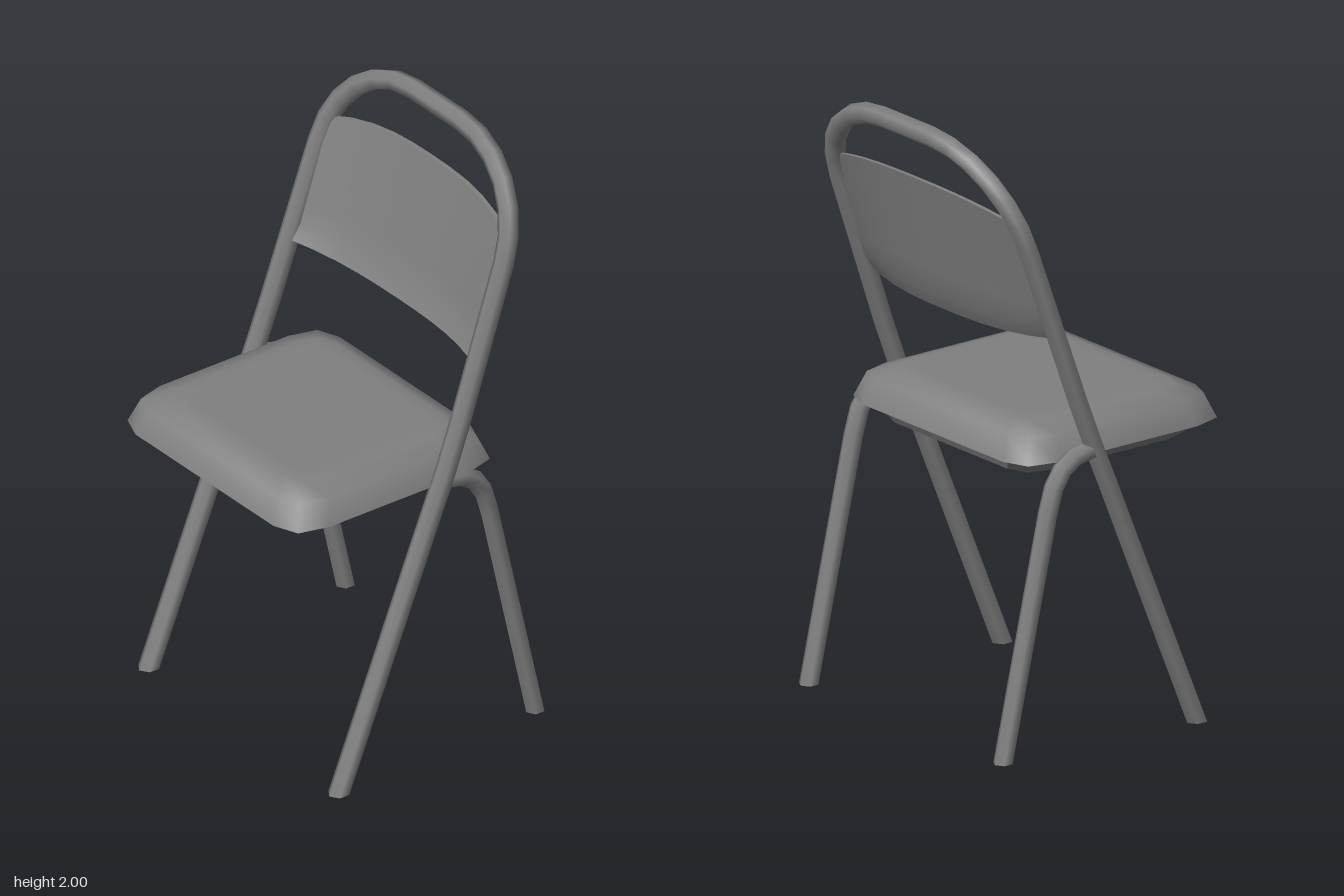
import * as THREE from 'three';
import { toCreasedNormals } from 'three/addons/utils/BufferGeometryUtils.js';

const material = new THREE.MeshStandardMaterial({ color: 0x808080 });

// Closed skin over a list of rings (arrays of Vector3), with both ends capped.
function loft(rings) {
  const n = rings[0].length, index = [];
  for (let r = 0; r < rings.length - 1; r++) {
    for (let i = 0; i < n; i++) {
      const a = r * n + i, b = r * n + (i + 1) % n;
      index.push(a, b, a + n, b, b + n, a + n);
    }
  }
  const last = (rings.length - 1) * n;
  for (let i = 1; i < n - 1; i++) {
    index.push(0, i + 1, i);
    index.push(last, last + i, last + i + 1);
  }
  const geometry = new THREE.BufferGeometry().setFromPoints(rings.flat());
  geometry.setIndex(index);
  return toCreasedNormals(geometry, 1.15);
}

// Six-sided pipe along a path; an end given a floor height is cut level there.
function pipe(path, radius, reference, phase, firstFloor, lastFloor) {
  const rings = path.map((p, k) => {
    const before = path[Math.max(k - 1, 0)], after = path[Math.min(k + 1, path.length - 1)];
    const t = after.clone().sub(p).normalize().add(p.clone().sub(before).normalize()).normalize();
    const m = t.clone().cross(reference).normalize();
    const n = m.clone().cross(t);
    const floor = k === 0 ? firstFloor : k === path.length - 1 ? lastFloor : undefined;
    return Array.from({ length: 6 }, (_, i) => {
      const a = phase + i * Math.PI / 3;
      const v = p.clone().addScaledVector(n, radius * Math.cos(a)).addScaledVector(m, radius * Math.sin(a));
      if (floor !== undefined) v.addScaledVector(t, (floor - v.y) / t.y);
      return v;
    });
  });
  return loft(rings);
}

function createModel() {
  const group = new THREE.Group();
  const add = (name, geometry) => {
    const mesh = new THREE.Mesh(geometry, material);
    mesh.name = name;
    group.add(mesh);
  };

  // Front legs and back hoop: one bent pipe, mirrored about the middle
  const half = [
    [0.482, 0, 0.32], [0.482, 0.85, -0.03], [0.482, 1.0, -0.093], [0.48, 1.15, -0.15],
  ].map((p) => new THREE.Vector3(...p));
  for (let i = 0; i <= 6; i++) {
    const a = i * Math.PI / 12, rise = 0.31 * Math.sin(a);
    half.push(new THREE.Vector3(0.12 + 0.35 * Math.cos(a), 1.66 + rise, -0.33 - 0.339 * rise));
  }
  const mirrored = half.map((p) => new THREE.Vector3(-p.x, p.y, p.z)).reverse();
  add('frontLegsAndBackHoop', pipe([...half, ...mirrored], 0.034, new THREE.Vector3(0, 0.36, 1), 0, 0, 0));

  // Rear legs, curving out of the frame just below the seat
  for (const [side, name] of [[1, 'rearLegLeft'], [-1, 'rearLegRight']]) {
    const path = [
      [0.025, -0.443], [0.8, -0.267], [0.88, -0.243], [0.93, -0.21], [0.96, -0.165], [0.975, -0.09],
    ].map(([y, z]) => new THREE.Vector3(side * 0.481, y, z));
    add(name, pipe(path, 0.032, new THREE.Vector3(1, 0, 0), Math.PI / 2, 0.025));
  }

  // Seat cushion: rounded-corner outlines stacked as [y, half width, back z, front z]
  const corner = [[1, 0.67], [0.94, 0.92], [0.76, 1]];
  const flipped = [...corner].reverse();
  const outline = [
    ...corner.map(([x, z]) => [x, -z]), ...flipped.map(([x, z]) => [-x, -z]),
    ...corner.map(([x, z]) => [-x, z]), ...flipped,
  ];
  const seatRings = [
    [0.893, 0.33, -0.225, 0.36], [0.893, 0.37, -0.265, 0.40], [0.95, 0.405, -0.29, 0.425],
    [0.95, 0.46, -0.338, 0.473], [1.03, 0.43, -0.305, 0.44], [1.057, 0.35, -0.245, 0.37],
    [1.057, 0.3, -0.2, 0.325],
  ].map(([y, w, back, front]) => outline.map(([x, z]) =>
    new THREE.Vector3(x * w, y, (front + back) / 2 + z * (front - back) / 2)));
  add('seat', loft(seatRings));

  // Backrest: thin panel bowed backward between the uprights, lower edge flared forward
  const panel = new THREE.BoxGeometry(2, 1, 1, 10, 5, 1);
  const pos = panel.attributes.position;
  for (let i = 0; i < pos.count; i++) {
    const u = pos.getX(i), w = pos.getZ(i);
    const v = Math.max(pos.getY(i) + 0.5, 0) ** 1.3;
    const bow = 1 - Math.abs(u) ** 2.7;
    const y = THREE.MathUtils.lerp(1.355 - 0.015 * bow, 1.745 + 0.055 * bow, v);
    const z = THREE.MathUtils.lerp(-0.213 - 0.064 * bow, -0.352 - 0.053 * bow, v);
    const flare = 0.016 * (1 - v) * Math.min(1, v / 0.12);
    pos.setXYZ(i, 0.46 * u, y, z - flare + 0.014 * w);
  }
  add('backrest', toCreasedNormals(panel, 0.9));

  return group;
}

export { createModel };
